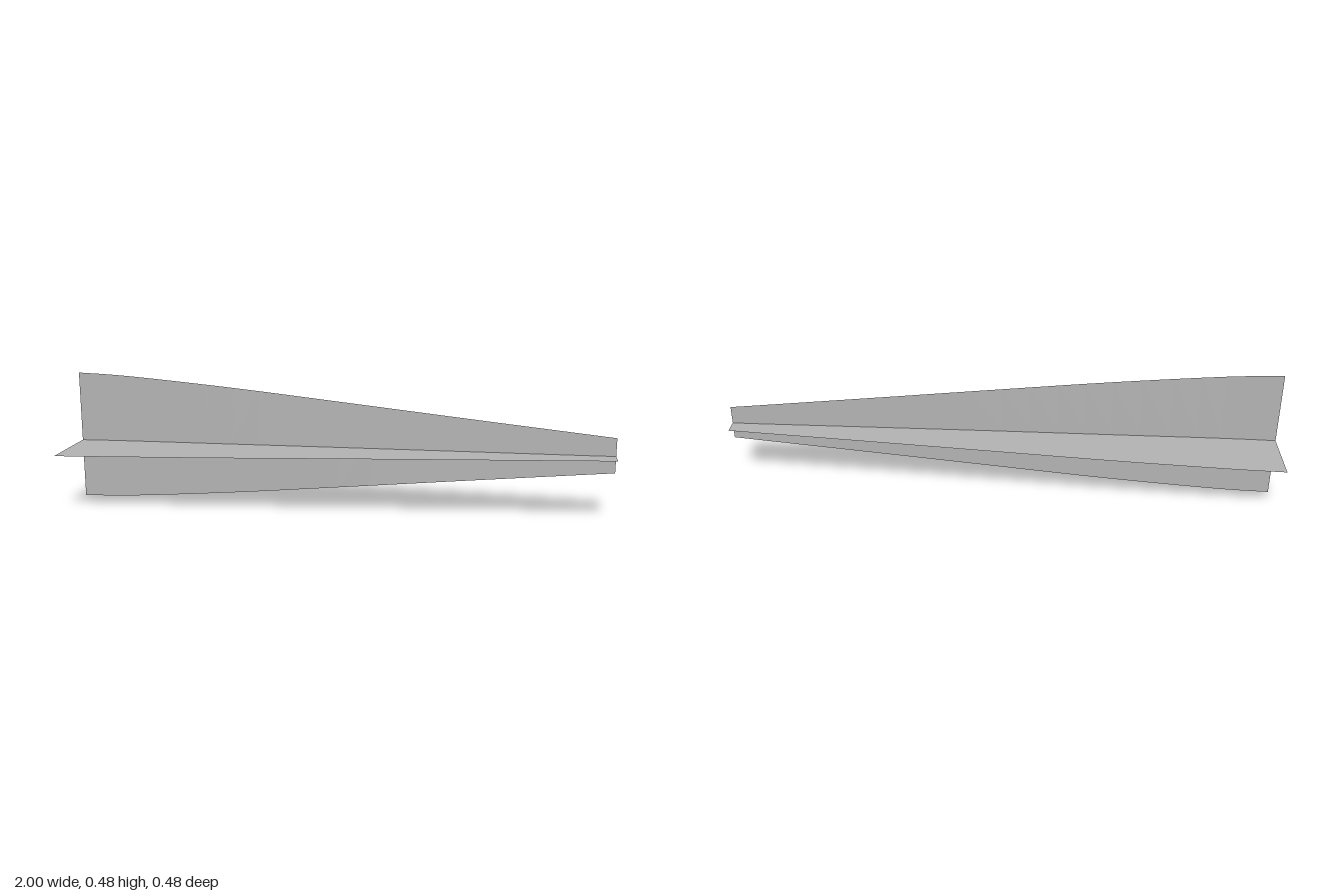
import * as THREE from 'three';

// Half width of a blade along its length, wide end to narrow end
const outline = new THREE.SplineCurve([
  [-1, 0.242], [-0.8, 0.234], [-0.4, 0.202], [0, 0.163], [0.5, 0.113], [1, 0.064],
].map(([x, w]) => new THREE.Vector2(x, w)));

// Thin tapering sheet lying flat, climbing slightly toward its narrow end
function bladeGeometry() {
  const geometry = new THREE.PlaneGeometry(2, 2, 20, 2);
  geometry.rotateX(-Math.PI / 2);
  const p = geometry.attributes.position;
  for (let i = 0; i < p.count; i++) {
    const t = (p.getX(i) + 1) / 2;
    const edge = outline.getPoint(t);
    p.setXYZ(i, edge.x, -0.0212 + 0.018 * t, p.getZ(i) * edge.y);
  }
  geometry.computeVertexNormals();
  return geometry;
}

export function createModel() {
  const group = new THREE.Group();
  const grey = new THREE.MeshStandardMaterial({ color: 0xb4b4b4, side: THREE.DoubleSide });
  grey.name = 'grey';

  // Horizontal blade
  const horizontal = new THREE.Mesh(bladeGeometry(), grey);
  horizontal.name = 'horizontalBlade';
  horizontal.position.y = 0.2427;
  group.add(horizontal);

  // Upright blade, the same sheet turned a quarter about its length
  const upright = new THREE.Mesh(bladeGeometry().rotateX(Math.PI / 2), grey);
  upright.name = 'uprightBlade';
  upright.position.set(0, 0.242, -0.002);
  group.add(upright);

  return group;
}
